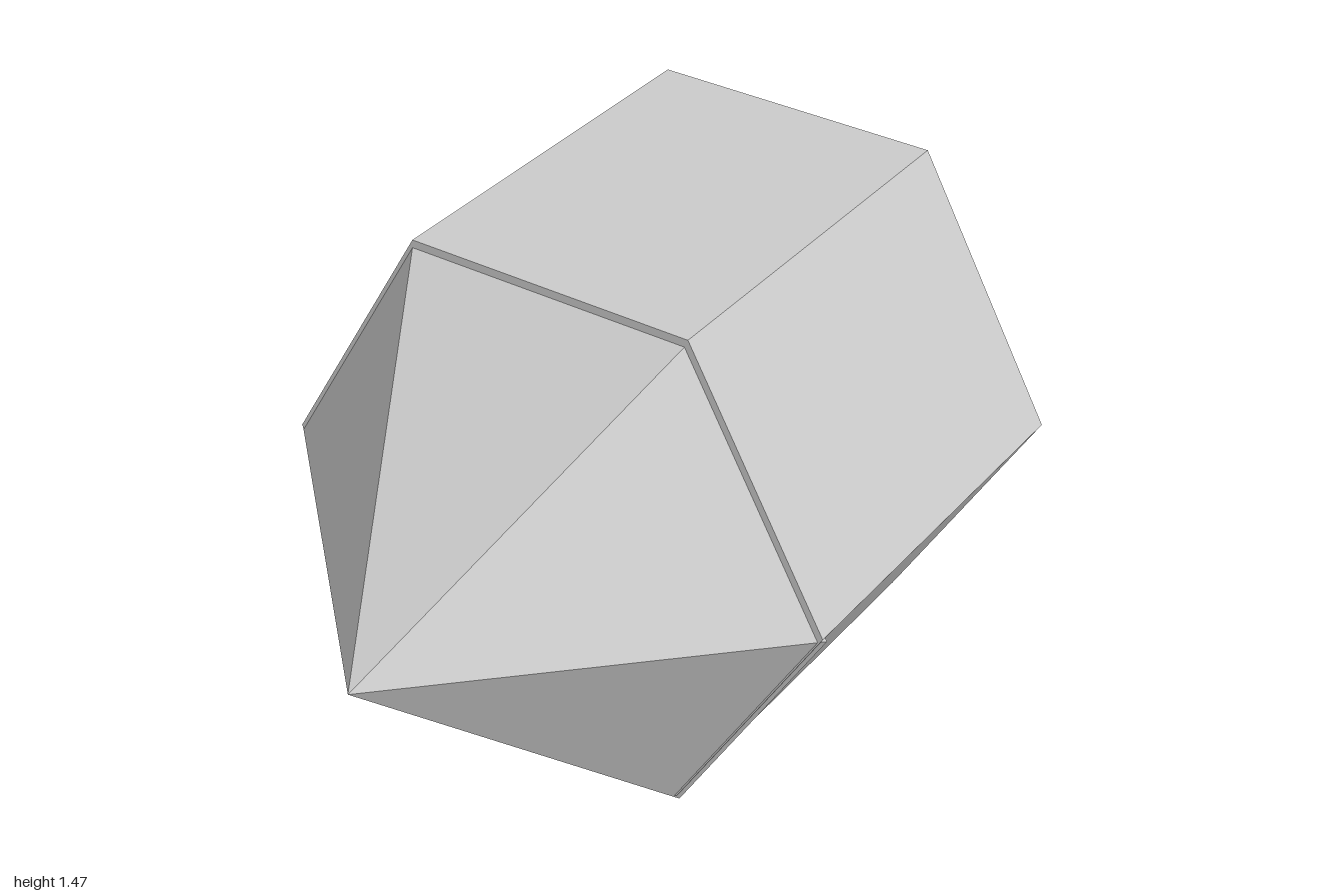
import * as THREE from 'three';

export function createModel() {
  const model = new THREE.Group();
  const material = new THREE.MeshStandardMaterial({ color: 0xcccccc, flatShading: true });

  // Six-sided solid lying along x, with corners pointing to +z and -z
  function addHex(name, tipRadius, baseRadius, xMin, xMax, y, z) {
    const geometry = new THREE.CylinderGeometry(tipRadius, baseRadius, xMax - xMin, 6);
    geometry.rotateZ(Math.PI / 2);
    const mesh = new THREE.Mesh(geometry, material);
    mesh.name = name;
    mesh.position.set((xMin + xMax) / 2, y, z);
    model.add(mesh);
  }

  // Prism body
  addHex('body', 0.837, 0.837, -0.172, 1, 0.75, 0.005);
  // Pyramid tip, slightly wider and set a little lower than the body
  addHex('tip', 0, 0.845, -1, -0.155, 0.735, 0);

  return model;
}
